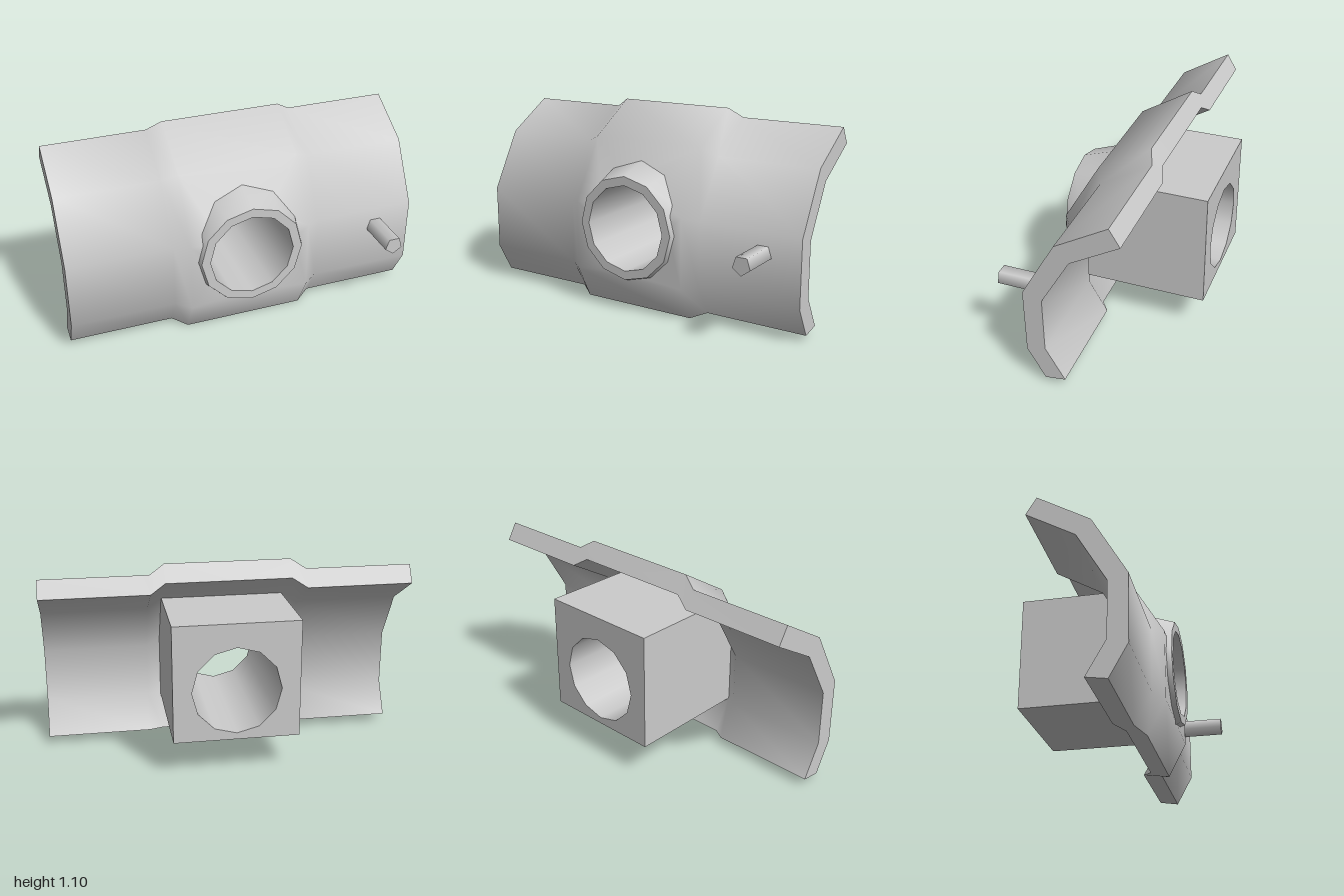
import * as THREE from 'three';
import { toCreasedNormals } from 'three/addons/utils/BufferGeometryUtils.js';

const material = new THREE.MeshStandardMaterial({ color: 0xcccccc });
const thin = new THREE.MeshStandardMaterial({ color: 0xcccccc, side: THREE.DoubleSide });

// Bent plate profiles as [z, y], top to bottom: plain ends and raised middle
const outer = [[-0.21, 1.053], [0.07, 0.886], [0.254, 0.564], [0.254, 0.2], [0.16, 0.03]];
const inner = [[-0.266, 0.96], [-0.006, 0.807], [0.152, 0.535], [0.152, 0.228], [0.05, 0.047]];
const outerMid = [[-0.18, 1.103], [0.114, 0.924], [0.312, 0.585], [0.312, 0.19], [0.213, 0.0]];
const innerMid = [[-0.238, 1.01], [0.038, 0.845], [0.21, 0.555], [0.21, 0.218], [0.105, 0.032]];
const HALF = 0.34, BORE_Y = 0.483, BORE_R = 0.24, RIM_R = 0.29, RIM_Z = 0.34, BACK_Z = -0.483;

function add(group, name, geometry, mat = material) {
  const mesh = new THREE.Mesh(geometry, mat);
  mesh.name = name;
  group.add(mesh);
  return mesh;
}

// Points on the bore's circle between two angles
function arc(r, from, to, n) {
  return Array.from({ length: n + 1 }, (_, i) => {
    const a = from + (to - from) * i / n;
    return new THREE.Vector2(r * Math.cos(a), BORE_Y + r * Math.sin(a));
  });
}

function plateGeometry() {
  const pos = [];
  const tri = (...pts) => pts.forEach((p) => pos.push(...p));
  const quad = (a, b, c, d) => { tri(a, b, c); tri(a, c, d); };
  const loop = (x, mid) => [...(mid ? outerMid : outer), ...[...(mid ? innerMid : inner)].reverse()]
    .map(([z, y]) => [x, y, z]);
  const sections = [[-1, 0], [-0.42, 0], [-HALF, 1], [HALF, 1], [0.42, 0], [1, 0]].map((s) => loop(...s));

  // Skin between neighbouring sections; the pierced panels are left out
  for (let i = 0; i < 5; i++) {
    for (let j = 0; j < 10; j++) {
      if (i === 2 && [1, 2, 6, 7].includes(j)) continue;
      const k = (j + 1) % 10, a = sections[i], b = sections[i + 1];
      quad(a[j], a[k], b[k], b[j]);
    }
  }
  // End faces
  for (let j = 0; j < 4; j++) {
    const l = sections[0], r = sections[5];
    quad(r[j], r[j + 1], r[8 - j], r[9 - j]);
    quad(l[9 - j], l[8 - j], l[j + 1], l[j]);
  }
  // Front panels pierced by the bore, split at the bend
  const r = 0.26, bendY = outerMid[2][1], a = Math.asin((bendY - BORE_Y) / r);
  const panel = (far, notch) => {
    const [z0, y0] = outerMid[2], [z1, y1] = outerMid[far];
    const end = notch[notch.length - 1], side = Math.sign(end.x) * HALF;
    const shape = new THREE.Shape([...notch, new THREE.Vector2(side, y0), new THREE.Vector2(side, y1),
      new THREE.Vector2(-side, y1), new THREE.Vector2(-side, y0)]);
    const p = new THREE.ShapeGeometry(shape).toNonIndexed().attributes.position;
    for (let i = 0; i < p.count; i++) {
      const y = p.getY(i);
      pos.push(p.getX(i), y, z0 + (z1 - z0) * (y - y0) / (y1 - y0));
    }
  };
  panel(1, arc(r, Math.PI - a, a, 8));
  panel(3, arc(r, a, -Math.PI - a, 14));

  const g = new THREE.BufferGeometry();
  g.setAttribute('position', new THREE.Float32BufferAttribute(pos, 3));
  return toCreasedNormals(g, 1.0);
}

// Flared collar whose base follows the bent plate
function collarGeometry() {
  const g = new THREE.CylinderGeometry(RIM_R, RIM_R, 1, 12, 1, true);
  g.rotateX(Math.PI / 2);
  const p = g.attributes.position;
  for (let i = 0; i < p.count; i++) {
    const x = p.getX(i) / RIM_R, y = p.getY(i) / RIM_R;
    const z = p.getZ(i) > 0 ? RIM_Z : 0.3 - 0.585 * Math.max(0, 0.342 * y - 0.1);
    const r = RIM_R + 0.33 * (RIM_Z - z);
    p.setXYZ(i, x * r, BORE_Y + y * r, z);
  }
  g.computeVertexNormals();
  return g;
}

export function createModel() {
  const model = new THREE.Group();
  model.name = 'bracket';
  add(model, 'bentPlate', plateGeometry());

  // Collar, its rim and the bore through to the back
  add(model, 'collar', collarGeometry());
  add(model, 'collarRim', new THREE.RingGeometry(BORE_R, RIM_R, 12)).position.set(0, BORE_Y, RIM_Z);
  const bore = new THREE.CylinderGeometry(BORE_R, BORE_R, RIM_Z - BACK_Z, 12, 1, true).rotateX(Math.PI / 2);
  add(model, 'bore', bore, thin).position.set(0, BORE_Y, (RIM_Z + BACK_Z) / 2);

  // Rear housing: walls meet the inside of the plate
  const housing = new THREE.Group();
  housing.name = 'rearHousing';
  const top = 0.853, bottom = 0.207;
  const side = new THREE.Shape([[BACK_Z, top], [0.03, top], ...innerMid.slice(1, 4), [0.204, bottom], [BACK_Z, bottom]]
    .map(([z, y]) => new THREE.Vector2(-z, y)));
  for (const s of [1, -1]) {
    add(housing, s > 0 ? 'leftWall' : 'rightWall',
      new THREE.ShapeGeometry(side).rotateY(Math.PI / 2).translate(s * HALF, 0, 0), thin);
  }
  for (const [name, y, front] of [['topWall', top, 0.03], ['bottomWall', bottom, 0.204]]) {
    add(housing, name, new THREE.PlaneGeometry(2 * HALF, front - BACK_Z).rotateX(-Math.PI / 2)
      .translate(0, y, (front + BACK_Z) / 2), thin);
  }
  const back = new THREE.Shape([[-HALF, bottom], [HALF, bottom], [HALF, top], [-HALF, top]]
    .map(([x, y]) => new THREE.Vector2(x, y)));
  back.holes.push(new THREE.Path(arc(BORE_R, 0, 2 * Math.PI, 12).slice(0, 12)));
  add(housing, 'backWall', new THREE.ShapeGeometry(back).translate(0, 0, BACK_Z), thin);
  model.add(housing);

  // Five-sided peg on the front
  const peg = new THREE.CylinderGeometry(0.052, 0.052, 0.263, 5).rotateX(Math.PI / 2);
  add(model, 'peg', peg).position.set(0.787, 0.455, 0.3515);
  return model;
}
